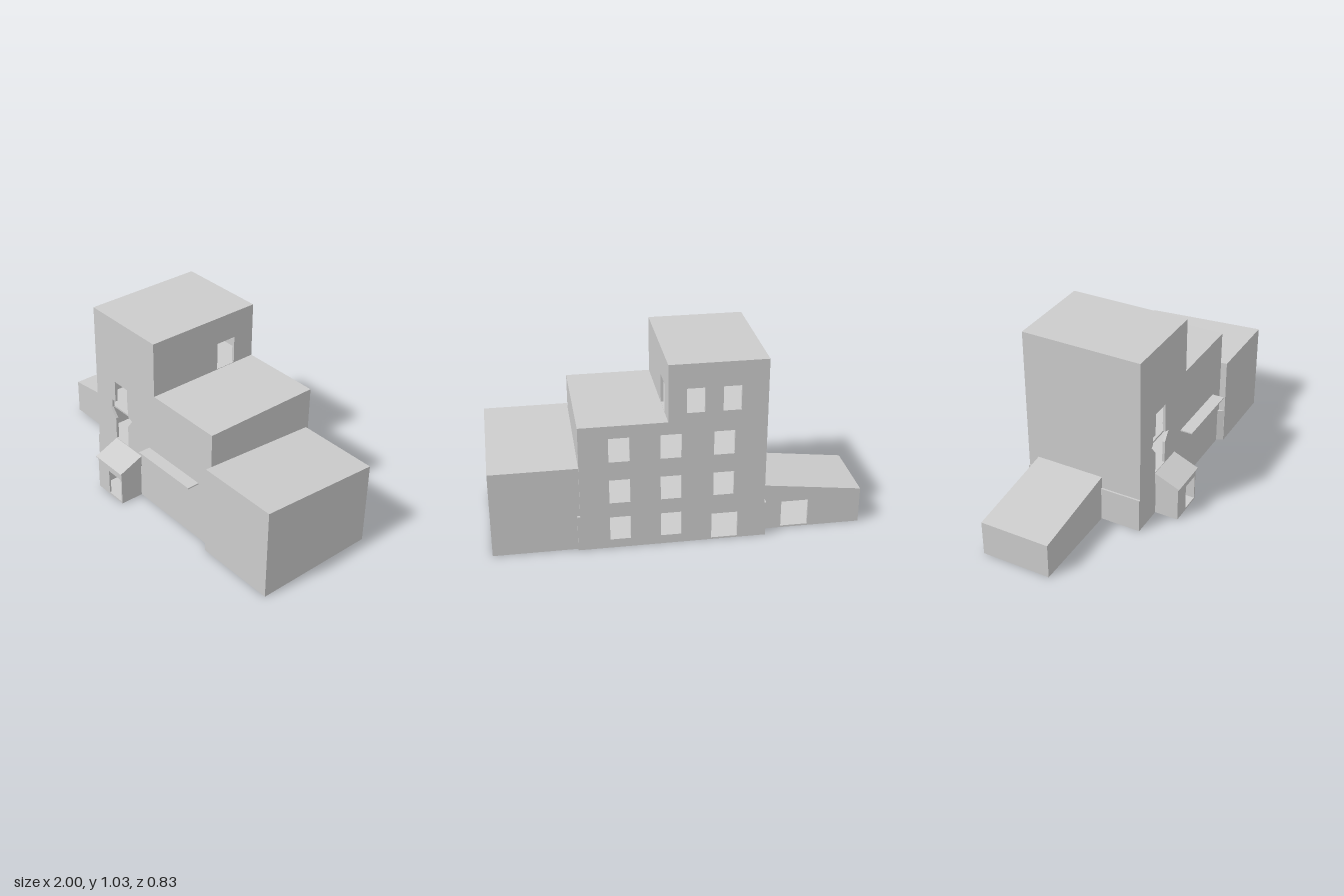
import * as THREE from 'three';

const T = 0.015; // wall thickness
const SLAB = 0.01;

export function createModel() {
  const model = new THREE.Group();
  const material = new THREE.MeshStandardMaterial({ color: 0xcccccc, flatShading: true });

  const add = (name, geometry) => {
    const mesh = new THREE.Mesh(geometry, material);
    mesh.name = name;
    model.add(mesh);
  };
  const box = (name, x0, x1, y0, y1, z0, z1) => {
    const g = new THREE.BoxGeometry(x1 - x0, y1 - y0, z1 - z0);
    g.translate((x0 + x1) / 2, (y0 + y1) / 2, (z0 + z1) / 2);
    add(name, g);
  };
  const rect = (x0, x1, y0, y1) => [[x0, y0], [x1, y0], [x1, y1], [x0, y1]];
  const toVectors = (pts) => pts.map(([x, y]) => new THREE.Vector2(x, y));
  const extrude = (pts, holes, depth) => {
    const shape = new THREE.Shape(toVectors(pts));
    shape.holes = holes.map((h) => new THREE.Path(toVectors(h)));
    return new THREE.ExtrudeGeometry(shape, { depth, bevelEnabled: false });
  };
  // outline in x, y, running from z0 to z1
  const panel = (name, pts, holes, z0, z1) =>
    add(name, extrude(pts, holes, z1 - z0).translate(0, 0, z0));
  // outline in z, y, running from x0 to x1
  const sidePanel = (name, pts, holes, x0, x1) =>
    add(name, extrude(pts, holes, x1 - x0).rotateY(-Math.PI / 2).translate(x1, 0, 0));

  // Main block and tower: stepped front and back walls
  const L = -0.45, M = 0.07, R = 0.535, LOW = 0.715, TOP = 1.03;
  const BACK = -0.415, FRONT = 0.27;
  const stepped = [[L, 0], [R, 0], [R, LOW], [M, LOW], [M, TOP], [L, TOP]];

  const stairOpening = [
    [-0.28, 0.27], [-0.17, 0.27], [-0.17, 0.4], [-0.13, 0.455], [-0.165, 0.465], [-0.165, 0.512],
    [-0.17, 0.512], [-0.17, 0.64], [-0.28, 0.64], [-0.28, 0.512], [-0.31, 0.512], [-0.31, 0.465],
    [-0.325, 0.455], [-0.28, 0.4],
  ];
  const entrance = rect(-0.19, -0.08, SLAB, 0.157);
  panel('frontWall', stepped, [stairOpening, entrance], FRONT - T, FRONT);

  const windows = [];
  for (const x of [0.27, 0.0, -0.28]) {
    for (const y of [0.05, 0.27, 0.51]) {
      if (x < -0.2 && y < 0.1) continue;
      windows.push(rect(x, x + 0.11, y, y + 0.135));
    }
  }
  windows.push(rect(-0.305, -0.163, SLAB, 0.157)); // back door
  for (const x of [-0.31, -0.12]) windows.push(rect(x, x + 0.095, 0.76, 0.895));
  panel('backWall', stepped, windows, BACK, BACK + T);

  const zi0 = BACK + T, zi1 = FRONT - T;
  box('leftWall', L, L + T, 0, TOP, zi0, zi1);
  box('rightWall', R - T, R, 0, LOW, zi0, zi1);
  sidePanel('towerRightWall', rect(zi0, zi1, LOW, TOP),
    [rect(-0.285, -0.165, LOW + 0.002, 0.875)], M - T, M);
  box('towerRoof', L + T, M - T, TOP - T, TOP, zi0, zi1);
  box('terraceRoof', L + T, R - T, LOW - T, LOW, zi0, zi1);
  [0, 0.225, 0.455].forEach((y, i) =>
    box('floor' + i, L + T, R - T, y, y + SLAB, zi0, zi1));

  // Slightly wider ground storey
  box('leftPlinth', L - 0.01, L, 0, 0.2, BACK, FRONT);
  box('rightPlinth', R, R + 0.015, 0, 0.2, BACK, -0.4);
  const corner = extrude([[0.515, -0.27], [0.535, -0.305], [0.535, -0.27]], [], 0.205);
  add('cornerPlinth', corner.rotateX(-Math.PI / 2));

  // Right wing with its roof falling to the back
  sidePanel('rightWing', [[-0.4, 0], [0.307, 0], [0.307, 0.527], [-0.4, 0.48]], [], R, 1);

  // Left wing with its roof falling to the end
  const wingEnd = -1, wz0 = -0.355, wz1 = 0.04;
  const wingSide = [[wingEnd, 0], [L, 0], [L, 0.27], [wingEnd, 0.203]];
  panel('leftWingBackWall', wingSide, [rect(-0.71, -0.56, SLAB, 0.16)], wz0, wz0 + T);
  panel('leftWingFrontWall', wingSide, [], wz1 - T, wz1);
  box('leftWingEndWall', wingEnd, wingEnd + T, 0, 0.19, wz0 + T, wz1 - T);
  box('leftWingFloor', wingEnd + T, L, 0, SLAB, wz0 + T, wz1 - T);
  panel('leftWingRoof', [[wingEnd, 0.188], [L, 0.255], [L, 0.27], [wingEnd, 0.203]], [],
    wz0 + T, wz1 - T);

  // Entrance porch
  const p0 = -0.275, p1 = -0.06, pz = 0.405;
  panel('porchFrontWall', rect(p0, p1, 0, 0.2), [rect(-0.178, -0.07, SLAB, 0.157)], pz - SLAB, pz);
  box('porchLeftWall', p1 - SLAB, p1, 0, 0.2, FRONT, pz - SLAB);
  box('porchRightWall', p0, p0 + SLAB, 0, 0.2, FRONT, pz - SLAB);
  box('porchFloor', p0 + SLAB, p1 - SLAB, 0, SLAB, FRONT, pz - SLAB);
  sidePanel('porchRoof', [[FRONT, 0.2], [0.415, 0.2], [0.415, 0.206], [FRONT, 0.267]], [],
    -0.283, -0.053);

  // Long thin canopy on the front
  box('canopy', 0.02, 0.435, 0.358, 0.365, FRONT, 0.34);

  return model;
}
